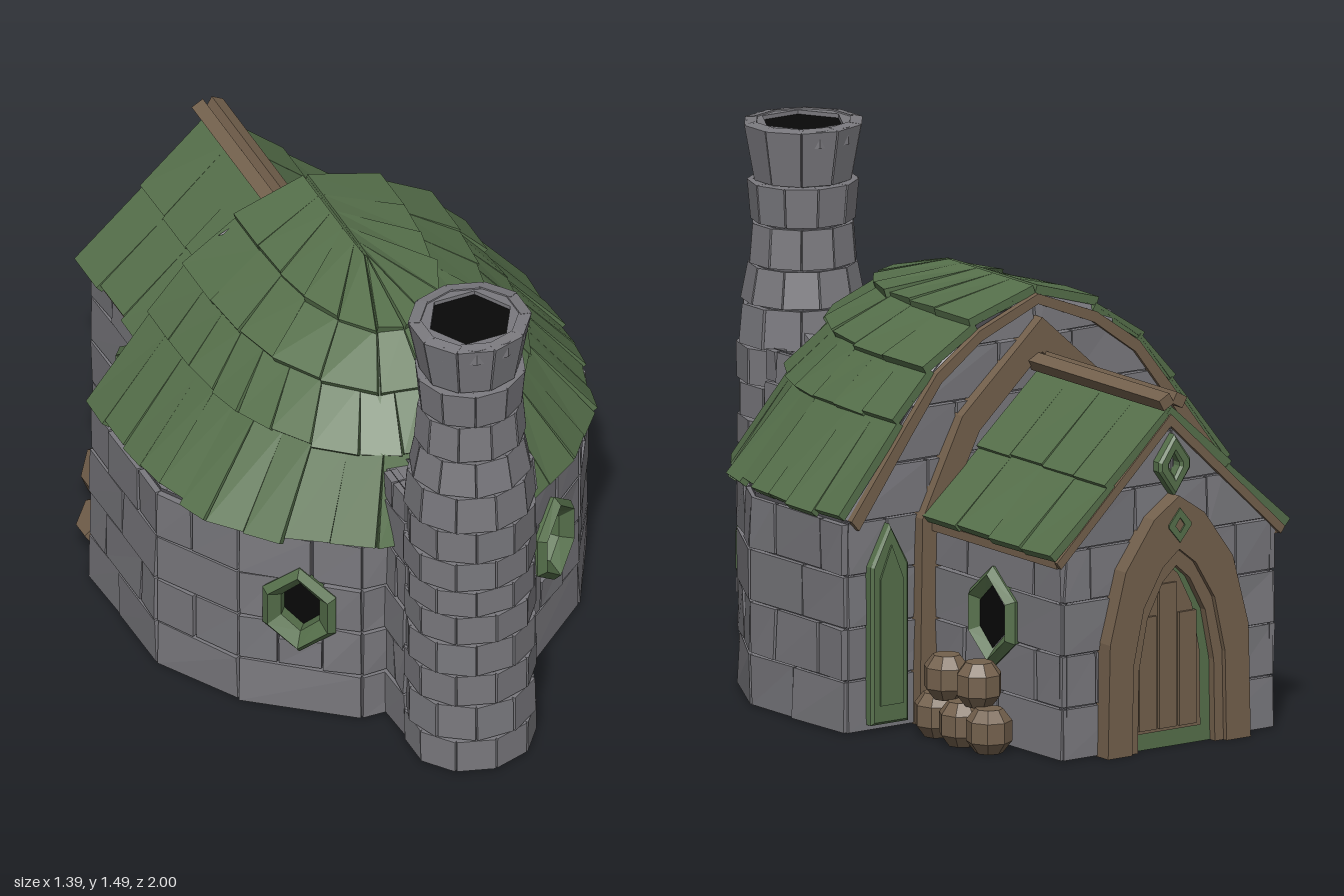
import * as THREE from 'three';
import { mergeGeometries } from 'three/addons/utils/BufferGeometryUtils.js';

const V = (x, y, z) => new THREE.Vector3(x, y, z);
const mat = (name, color, side = THREE.FrontSide) => {
  const m = new THREE.MeshStandardMaterial({ color, side, flatShading: true });
  m.name = name;
  return m;
};

export function createModel() {
  const root = new THREE.Group();
  root.name = 'cottage';
  const stone = mat('stone', 0x7a797e);
  const mortar = mat('mortar', 0x535257, THREE.DoubleSide);
  const green = mat('green', 0x56704b, THREE.DoubleSide);
  const wood = mat('wood', 0x74614d, THREE.DoubleSide);
  const black = mat('black', 0x080808, THREE.DoubleSide);

  let seed = 7;
  const rnd = (a = -1, b = 1) => {
    seed = (seed * 16807) % 2147483647;
    return a + (b - a) * (seed / 2147483647);
  };
  const add = (name, geo, material, parent = root) => {
    const m = new THREE.Mesh(geo, material);
    m.name = name;
    parent.add(m);
    return m;
  };

  // Six-sided slab: outer corners a b c d counter-clockwise, thickness t inwards
  const slab = (a, b, c, d, t) => {
    const n = c.clone().sub(a).cross(d.clone().sub(b)).normalize().multiplyScalar(-t);
    const [e, f, g, h] = [a, b, c, d].map(p => p.clone().add(n));
    return quads([[a, b, c, d], [f, e, h, g], [e, f, b, a], [d, c, g, h], [e, a, d, h], [b, f, g, c]]);
  };
  const quads = list => {
    const geo = new THREE.BufferGeometry().setFromPoints(list.flatMap(([p, q, r, s]) => [p, q, r, p, r, s]));
    geo.computeVertexNormals();
    return geo;
  };
  const shape = (pts, hole) => {
    const s = new THREE.Shape(pts.map(p => new THREE.Vector2(...p)));
    if (hole) s.holes.push(new THREE.Path(hole.map(p => new THREE.Vector2(...p))));
    return s;
  };
  const extrude = (pts, depth, hole, bevel = 0) => new THREE.ExtrudeGeometry(shape(pts, hole), {
    depth, bevelEnabled: bevel > 0, bevelSize: bevel, bevelThickness: bevel, bevelOffset: -bevel, bevelSegments: 1 });
  const mirrorPts = half => [...half, ...half.filter(p => p[0] > 0).reverse().map(([x, y]) => [-x, y])];
  const hexPts = (w, h, k = 0.42) => [[0, -h], [w, -h * k], [w, h * k], [0, h], [-w, h * k], [-w, -h * k]];
  const lerpTable = (tab, y) => {
    if (y <= tab[0][0]) return tab[0][1];
    for (let i = 1; i < tab.length; i++) if (y <= tab[i][0]) {
      const [y0, v0] = tab[i - 1], [y1, v1] = tab[i];
      return v0 + (v1 - v0) * (y - y0) / (y1 - y0);
    }
    return 0;
  };

  // Brick wall from p0 to p1 ([x, z]); outside lies to the right of travel
  const winY = 0.365;
  const bricks = [];
  const wall = (p0, p1, top, { hw, win } = {}) => {
    const dx = p1[0] - p0[0], dz = p1[1] - p0[1], L = Math.hypot(dx, dz);
    const M = new THREE.Matrix4().makeRotationY(Math.atan2(-dz, dx))
      .setPosition((p0[0] + p1[0]) / 2, 0, (p0[1] + p1[1]) / 2);
    const half = hw || (() => L / 2);
    const brick = (u0, u1, y0, y1) => {
      const c = (u, y) => Math.max(-half(y), Math.min(half(y), u));
      const w0 = c(u1, y0) - c(u0, y0), w1 = c(u1, y1) - c(u0, y1);
      if (w0 < 0.012 && w1 < 0.012) return;
      const z = () => rnd(-0.003, 0.008), g = 0.0035;
      bricks.push(slab(V(c(u0, y0) + g, y0 + g, z()), V(c(u1, y0) - g, y0 + g, z()),
        V(c(u1, y1) - g, y1 - g, z()), V(c(u0, y1) + g, y1 - g, z()), 0.04).applyMatrix4(M));
    };
    const rowH = 0.153;
    for (let r = 0; r * rowH < top - 0.01; r++) {
      const y0 = r * rowH, y1 = Math.min(top, y0 + rowH);
      const n = Math.max(1, Math.round(L / 0.26)), cuts = [-L / 2];
      for (let i = r % 2 ? 0.5 : 1; i < n; i++) cuts.push(-L / 2 + (i + rnd(-0.12, 0.12)) * L / n);
      cuts.push(L / 2);
      if (win && (r === 1 || r === 2)) {
        brick(-L / 2, -0.065, y0, y1);
        brick(0.065, L / 2, y0, y1);
        if (r === 1) brick(-0.065, 0.065, y0, 0.25);
      } else for (let i = 1; i < cuts.length; i++) brick(cuts[i - 1], cuts[i], y0, y1);
    }
    // Mortar sheet inside the wall
    const ys = hw ? [0, 0.6, 0.75, 0.88, 1.02, 1.13].filter(y => y < top).concat(top) : [0, top];
    const outline = [...ys.map(y => [half(y), y]), ...ys.slice().reverse().map(y => [-half(y), y])];
    const hole = win && hexPts(0.062, 0.1).map(([x, y]) => [x, y + winY]);
    add('mortar', new THREE.ShapeGeometry(shape(outline, hole)).translate(0, 0, -0.015).applyMatrix4(M), mortar);
  };

  // Main house and porch walls
  const plan = [[-0.67, -0.3], [-0.67, 0.15], [-0.53, 0.4], [-0.25, 0.63],
    [0.25, 0.63], [0.53, 0.4], [0.67, 0.15], [0.67, -0.3]];
  for (let i = 1; i < plan.length; i++) wall(plan[i - 1], plan[i], 0.62, { win: i === 3 || i === 5 });
  wall([0.67, -0.3], [-0.67, -0.3], 1.17,
    { hw: y => lerpTable([[0.62, 0.66], [0.88, 0.46], [1.02, 0.34], [1.13, 0.19], [1.18, 0]], y) });
  wall([0.37, -0.33], [0.37, -0.94], 0.6);
  wall([0.37, -0.94], [-0.37, -0.94], 0.94, { hw: y => lerpTable([[0.6, 0.37], [0.95, 0]], y) });
  wall([-0.37, -0.94], [-0.37, -0.33], 0.6);
  // Link between chimney and house
  wall([0.175, 0.76], [0.175, 0.62], 0.86);
  wall([-0.175, 0.62], [-0.175, 0.76], 0.86);
  add('chimneyLink', extrude([[-0.75, 0], [-0.75, 0.85], [-0.55, 0.84], [-0.55, 0]], 0.32)
    .translate(0, 0, -0.16).rotateY(Math.PI / 2), stone);
  add('chimneyShoulder', extrude([[-0.75, 0.84], [-0.74, 0.96], [-0.68, 0.91], [-0.6, 0.86]], 0.2)
    .translate(0, 0, -0.1).rotateY(Math.PI / 2), stone);
  add('wallBricks', mergeGeometries(bricks), stone);

  // Chimney: rows of curved stones round a dark core
  const ys = [0, 0.11, 0.23, 0.34, 0.45, 0.55, 0.64, 0.74, 0.85, 0.97, 1.08, 1.2, 1.32, 1.488];
  const rs = [0.183, 0.184, 0.182, 0.184, 0.183, 0.184, 0.184, 0.184, 0.185, 0.175, 0.155, 0.146, 0.15, 0.172];
  const chimney = new THREE.Group();
  chimney.name = 'chimney';
  chimney.position.z = 0.82;
  root.add(chimney);
  const stones = [], sides = 10;
  for (let r = 0; r < 13; r++) {
    const r0 = r === 12 ? 0.142 : rs[r], r1 = r === 11 ? 0.156 : rs[r + 1], off = (r % 2) * 0.5;
    for (let i = 0; i < sides; i++) {
      const f = 2 * Math.PI / sides, a0 = (i + off) * f + 0.015, a1 = (i + 1 + off) * f - 0.015;
      const k = 1 + rnd(-0.012, 0.018);
      const P = (a, R, y) => V(Math.sin(a) * R * k * 1.03, y, Math.cos(a) * R * k * 0.98);
      const y0 = ys[r] + 0.003, y1 = ys[r + 1] - 0.003;
      stones.push(slab(P(a0, r0, y0), P(a1, r0, y0), P(a1, r1, y1), P(a0, r1, y1), 0.035));
    }
  }
  add('chimneyStones', mergeGeometries(stones), stone, chimney);
  add('chimneyCore', new THREE.LatheGeometry(ys.map((y, i) =>
    new THREE.Vector2((i === 12 ? 0.142 : rs[i]) * 0.9, Math.min(y, 1.45))), sides), mortar, chimney);
  const ngon = (n, r) => Array.from({ length: n }, (_, i) => [r * Math.cos(i * 2 * Math.PI / n), r * Math.sin(i * 2 * Math.PI / n)]);
  add('chimneyRim', extrude(ngon(sides, 0.16), 0.05, ngon(6, 0.125)).rotateX(-Math.PI / 2).translate(0, 1.437, 0), stone, chimney);
  add('flue', new THREE.CircleGeometry(0.13, 6).rotateX(-Math.PI / 2).translate(0, 1.475, 0), black, chimney);

  // Shingle row: lower and upper edges given as functions of 0..1
  const shingles = [];
  const row = (low, high, n, lift, over) => {
    for (let i = 0; i < n; i++) {
      const t0 = i / n, t1 = (i + 1) / n;
      const [p, q, s, u] = [low(t0), low(t1), high(t1), high(t0)];
      const nrm = s.clone().sub(p).cross(u.clone().sub(q)).normalize();
      const reach = -over * rnd(0.2, 1);
      const ext = (a, b) => a.clone().lerp(b, reach).addScaledVector(nrm, lift * rnd(0.6, 1.1));
      const a = ext(p, u), b = ext(q, s);
      s.addScaledVector(nrm, 0.008);
      u.addScaledVector(nrm, 0.008);
      shingles.push(slab(a.lerp(b, 0.015), b, s, u, 0.026));
    }
  };
  // Main roof: rounded at the front, open gable at the back
  const tmpl = [[-1, 0], [-1, 0.25], [-0.97, 0.45], [-0.88, 0.64], [-0.66, 0.82], [-0.33, 0.97], [0, 1],
    [0.33, 0.97], [0.66, 0.82], [0.88, 0.64], [0.97, 0.45], [1, 0.25], [1, 0]];
  const ring = (w, f, y) => t => {
    const k = Math.min(t * 12, 11.9999), i = Math.floor(k), e = k - i;
    const m = j => tmpl[i][j] + (tmpl[i + 1][j] - tmpl[i][j]) * e;
    return V(m(0) * w, y, -0.3 + m(1) * (f + 0.3));
  };
  const levels = [ring(0.66, 0.69, 0.635), ring(0.475, 0.6, 0.88), ring(0.365, 0.49, 1.02),
    ring(0.21, 0.36, 1.13), ring(0.004, 0.12, 1.21)];
  [24, 18, 12, 12].forEach((n, i) => row(levels[i], levels[i + 1], n, 0.028, 0.1));
  // Porch roof: two rows on each slope
  for (const s of [1, -1]) {
    const edge = (x, y) => t => V(s * x, y, s > 0 ? -0.33 - 0.62 * t : -0.95 + 0.62 * t);
    row(edge(0.395, 0.6), edge(0.2, 0.787), 4, 0.022, 0.08);
    row(edge(0.2, 0.787), edge(0, 0.98), 4, 0.022, 0.08);
  }
  add('roofShingles', mergeGeometries(shingles), green);
  const under = [];
  for (let l = 0; l < 4; l++) for (let i = 0; i < 12; i++)
    under.push([levels[l](i / 12), levels[l]((i + 1) / 12), levels[l + 1]((i + 1) / 12), levels[l + 1](i / 12)]);
  add('roofDeck', quads(under), green);

  // Timber: gable boards, porch arch, ridge and eaves
  const board = mirrorPts([[0.655, 0.62], [0.465, 0.87], [0.355, 1.01], [0.205, 1.115], [0, 1.195]]);
  add('mainGableBoard', extrude([...board, ...board.slice().reverse().map(([x, y]) => [x * 0.96, y - 0.03])], 0.02)
    .translate(0, 0, -0.316), wood);
  const arch = mirrorPts([[0.43, 0], [0.42, 0.6], [0.28, 0.88], [0, 1.13]]);
  const archIn = mirrorPts([[0.36, 0], [0.35, 0.58], [0.22, 0.83], [0, 1.03]]);
  add('porchArch', extrude([...arch, ...archIn.reverse()], 0.045).translate(0, 0, -0.335), wood);
  add('porchGableBoard', extrude([[0.4, 0.585], [0, 0.965], [-0.4, 0.585], [-0.385, 0.565], [0, 0.93], [0.385, 0.565]], 0.015)
    .translate(0, 0, -0.955), wood);
  for (const s of [1, -1]) {
    add('ridgeBeam', new THREE.BoxGeometry(0.04, 0.035, 0.64).rotateZ(s * -0.5).translate(s * 0.023, 1.005, -0.645), wood);
    add('eavesBeam', new THREE.BoxGeometry(0.02, 0.025, 0.6).translate(s * 0.378, 0.575, -0.635), wood);
    add('porchLining', new THREE.PlaneGeometry(0.56, 0.43).rotateY(Math.PI / 2).translate(s * 0.322, 0.335, -0.63), wood);
  }
  // Porch inside: panelled back wall with a dark doorway
  add('innerWall', new THREE.PlaneGeometry(0.64, 0.43).translate(0, 0.335, -0.345), wood);
  add('innerDoorway', new THREE.PlaneGeometry(0.36, 0.43).translate(0, 0.335, -0.35), black);
  add('porchCeiling', new THREE.PlaneGeometry(0.64, 0.58).rotateX(Math.PI / 2).translate(0, 0.555, -0.63), black);

  // Windows: deep funnel frames lofted from six-sided rings [width, height, depth]
  const frameRings = [[0.1, 0.14, -0.01], [0.108, 0.148, 0.012], [0.088, 0.125, 0.034], [0.056, 0.085, 0], [0.056, 0.085, -0.045], [0.08, 0.115, -0.045]]
    .map(([w, h, z]) => hexPts(w, h).map(([x, y]) => V(x, y, z)));
  const frameFaces = [];
  for (let r = 1; r < frameRings.length; r++) for (let i = 0; i < 6; i++) {
    const j = (i + 1) % 6, [o, n] = [frameRings[r - 1], frameRings[r]];
    frameFaces.push([o[i], o[j], n[j], n[i]]);
  }
  const frameGeo = quads(frameFaces);
  const opening = (name, x, z, angle, paneZ) => {
    const g = new THREE.Group();
    g.name = name;
    g.position.set(x, winY, z);
    g.rotation.y = angle;
    root.add(g);
    add('windowFrame', frameGeo, green, g);
    if (paneZ) add('windowPane', new THREE.ShapeGeometry(shape(hexPts(0.06, 0.092))).translate(0, 0, paneZ), black, g);
  };
  const diag = Math.atan2(0.28, 0.23) - Math.PI / 2;
  opening('frontLeftWindow', 0.39, 0.515, -diag, 0);
  opening('frontRightWindow', -0.39, 0.515, diag, -0.035);
  for (const s of [1, -1]) {
    opening('porchWindow', s * 0.37, -0.62, s * Math.PI / 2, 0.012);
    const tall = [[-0.065, 0.02], [0.065, 0.02], [0.065, 0.48], [0, 0.6], [-0.065, 0.48]];
    add('tallShutter', extrude(tall, 0.025, null, 0.008).translate(s * 0.53, 0, -0.325), green);
    add('shutterPanel', extrude(tall.map(([x, y]) => [x * 0.6, 0.06 + y * 0.8]), 0.008).translate(s * 0.53, 0, -0.339), green);
  }
  add('gableWindow', extrude(hexPts(0.055, 0.09, 0.15), 0.03, hexPts(0.018, 0.035, 0.15), 0.008)
    .translate(0, 0.82, -0.97), green);

  // Door with pointed surround
  const ogive = (w, h) => mirrorPts([[w, 0], [w * 0.97, h * 0.45], [w * 0.75, h * 0.73], [w * 0.35, h * 0.92], [0, h]]);
  add('doorSurround', extrude([...ogive(0.25, 0.735), ...ogive(0.165, 0.58).reverse()], 0.06).translate(0, 0, -0.995), wood);
  add('doorBack', extrude(ogive(0.17, 0.59), 0.01).translate(0, 0, -0.956), green);
  add('doorFrame', extrude([...ogive(0.166, 0.585), ...ogive(0.135, 0.53).reverse()], 0.025).translate(0, 0, -0.98), wood);
  add('doorPanel', extrude(ogive(0.12, 0.49), 0.01).translate(0.025, 0.05, -0.965), wood);
  [[-0.045, 0.33], [0.025, 0.42], [0.095, 0.33]].forEach(([x, h]) =>
    add('doorPlank', new THREE.BoxGeometry(0.06, h, 0.012).translate(x, 0.06 + h / 2, -0.968), wood));
  add('doorDiamond', extrude(hexPts(0.038, 0.05, 0.1), 0.02, hexPts(0.015, 0.022, 0.1)).translate(0, 0.65, -1), green);

  // Stacked kegs by the left porch wall
  const kegProfile = [[0, -0.064], [0.04, -0.064], [0.066, -0.03], [0.066, 0.03], [0.04, 0.064], [0, 0.064]]
    .map(p => new THREE.Vector2(...p));
  for (const [y, z] of [[0.064, -0.46], [0.064, -0.595], [0.064, -0.715], [0.187, -0.525], [0.187, -0.655]]) {
    const k = add('keg', new THREE.LatheGeometry(kegProfile, 8), wood);
    k.position.set(0.463 + rnd(-0.012, 0.012), y, z);
    k.rotation.y = rnd();
  }
  // Boulders by the right porch wall
  for (const [x, y, z, w, h, d] of [[-0.56, 0.1, -0.385, 0.11, 0.105, 0.085], [-0.485, 0.115, -0.56, 0.085, 0.12, 0.1]]) {
    const b = add('boulder', new THREE.DodecahedronGeometry(1, 0), wood);
    b.position.set(x, y, z);
    b.scale.set(w, h, d);
  }
  return root;
}
